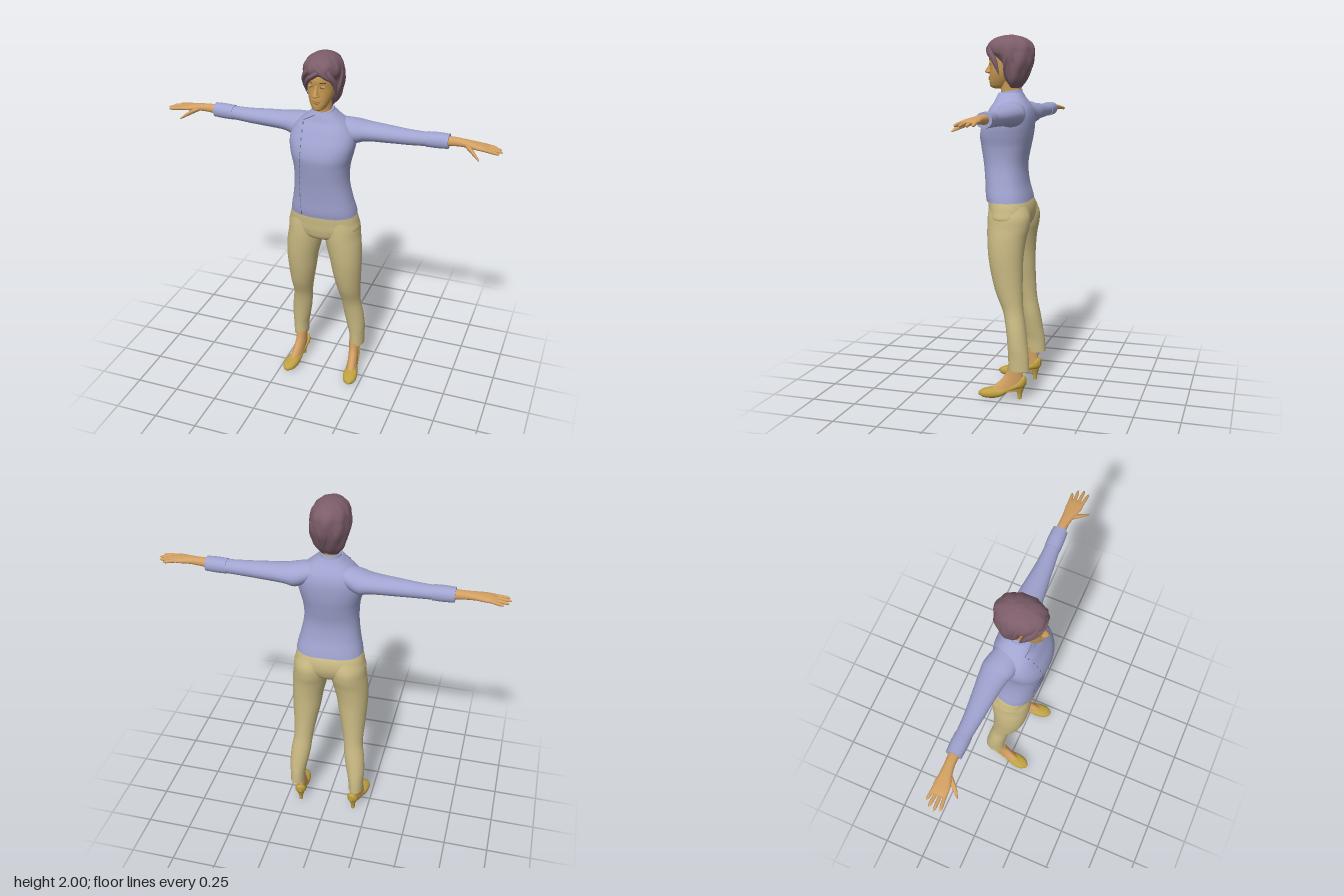
import * as THREE from 'three';

const mat = (name, color) => {
  const m = new THREE.MeshStandardMaterial({ color });
  m.name = name;
  return m;
};

// Smooth skin over cross-sections [t, centreA, halfWidthA, minB, maxB], sorted by t.
// axis y: a = x, b = z.  axis x: a = z, b = y.  axis z: a = -x, b = y.
function loft(axis, sections, { power = 2, sides = 32, steps = 5 } = {}) {
  const place = {
    y: (t, a, b) => [a, t, b],
    x: (t, a, b) => [t, b, a],
    z: (t, a, b) => [-a, b, t],
  }[axis];
  const times = sections.map((s) => s[0]);
  const spline = new THREE.CubicInterpolant(times, sections.flatMap((s) => s.slice(1)), 4, new Float32Array(4));
  const pos = [], index = [];
  const rings = (sections.length - 1) * steps;
  const ring = (t) => {
    const [c, r, lo, hi] = spline.evaluate(t);
    const mid = (lo + hi) / 2, h = Math.max((hi - lo) / 2, 0.001);
    for (let j = 0; j < sides; j++) {
      const an = (j / sides) * Math.PI * 2, cs = Math.cos(an), sn = Math.sin(an);
      const f = Math.pow(Math.pow(Math.abs(cs), power) + Math.pow(Math.abs(sn), power), -1 / power);
      pos.push(...place(t, c + Math.max(r, 0.001) * cs * f, mid + h * sn * f));
    }
    return [c, mid];
  };
  for (let i = 0; i <= rings; i++) {
    const k = Math.min(Math.floor(i / steps), sections.length - 2);
    ring(THREE.MathUtils.lerp(times[k], times[k + 1], i / steps - k));
  }
  for (let i = 0; i < rings; i++) {
    for (let j = 0; j < sides; j++) {
      const n = (j + 1) % sides, a = i * sides + j, b = i * sides + n;
      index.push(a, a + sides, b, b, a + sides, b + sides);
    }
  }
  // flat end caps on their own vertices
  for (const end of [0, 1]) {
    const t = times[end ? times.length - 1 : 0], start = pos.length / 3;
    const [c, mid] = ring(t);
    pos.push(...place(t, c, mid));
    for (let j = 0; j < sides; j++) {
      const a = start + j, b = start + ((j + 1) % sides), m = start + sides;
      index.push(...(end ? [a, m, b] : [a, b, m]));
    }
  }
  const g = new THREE.BufferGeometry();
  g.setAttribute('position', new THREE.Float32BufferAttribute(pos, 3));
  g.setIndex(index);
  g.computeVertexNormals();
  return g;
}

// Move every vertex by a rule, then refresh the normals
function reshape(g, rule) {
  const p = g.attributes.position, v = new THREE.Vector3();
  for (let i = 0; i < p.count; i++) {
    rule(v.fromBufferAttribute(p, i), i);
    p.setXYZ(i, v.x, v.y, v.z);
  }
  g.computeVertexNormals();
  return g;
}

function mirrored(geo) {
  const g = geo.clone().scale(-1, 1, 1), ix = g.index;
  for (let i = 0; i < ix.count; i += 3) {
    const a = ix.getX(i);
    ix.setX(i, ix.getX(i + 1));
    ix.setX(i + 1, a);
  }
  g.computeVertexNormals();
  return g;
}

// Tapered strand along a few points
function lock(points, r) {
  const curve = new THREE.CatmullRomCurve3(points.map((p) => new THREE.Vector3(...p)));
  const g = new THREE.TubeGeometry(curve, 20, r, 8);
  const uv = g.attributes.uv;
  return reshape(g, (v, i) => {
    const u = uv.getX(i), c = curve.getPointAt(u);
    v.sub(c).multiplyScalar(Math.max(0.02, Math.sin(Math.PI * (0.12 + 0.88 * u)))).add(c);
  });
}

export function createModel() {
  const model = new THREE.Group();
  const shirt = mat('shirtBlue', 0xa0a4d0), seam = mat('seamBlue', 0x6d7099);
  const khaki = mat('trouserKhaki', 0xcbbb84), shoe = mat('shoeGold', 0xbfa142);
  const face = mat('faceSkin', 0xc89a54), skin = mat('limbSkin', 0xd3a062);
  const lip = mat('lipBrown', 0xb5824a), hair = mat('hairPlum', 0x7c5d69), dark = mat('lashBrown', 0x5a4030);

  const add = (name, geo, m) => {
    const mesh = new THREE.Mesh(geo, m);
    mesh.name = name;
    model.add(mesh);
    return mesh;
  };
  const pair = (name, geo, m) => {
    add(name + 'Left', geo, m);
    add(name + 'Right', mirrored(geo), m);
  };
  const ray = new THREE.Raycaster();
  const frontZ = (mesh, x, y) => {
    ray.set(new THREE.Vector3(x, y, 2), new THREE.Vector3(0, 0, -1));
    const hit = ray.intersectObject(mesh)[0];
    return hit ? hit.point.z : 0;
  };

  // Shirt body
  const torso = add('shirtBody', loft('y', [
    [1.1, 0.004, 0.186, -0.122, 0.12], [1.13, 0.004, 0.181, -0.116, 0.126], [1.2, 0.003, 0.165, -0.098, 0.131],
    [1.3, 0, 0.15, -0.09, 0.142], [1.4, 0, 0.154, -0.108, 0.158], [1.46, 0, 0.168, -0.12, 0.164],
    [1.52, 0, 0.178, -0.126, 0.15], [1.57, 0, 0.172, -0.125, 0.126], [1.61, 0, 0.148, -0.115, 0.106],
    [1.64, 0, 0.118, -0.098, 0.087], [1.67, 0, 0.082, -0.078, 0.075], [1.69, 0, 0.062, -0.068, 0.066],
  ], { power: 2.4, sides: 48 }), shirt);

  // Stand collar, higher at the nape
  add('collar', reshape(loft('y', [
    [1.65, 0, 0.082, -0.078, 0.082], [1.675, 0, 0.064, -0.068, 0.07], [1.7, 0, 0.056, -0.062, 0.064],
  ]), (v) => { v.y -= 0.16 * v.z; }), shirt);

  // Off-centre stitched opening
  const stitch = (x, y, angle, length) => {
    const g = new THREE.BoxGeometry(0.004, length, 0.004).rotateZ(angle);
    add('stitch', g.translate(x, y, frontZ(torso, x, y)), seam);
  };
  for (let y = 1.12; y < 1.64; y += 0.036) stitch(-0.087 - 0.008 * Math.sin((y - 1.1) * 12), y, 0, 0.026);
  for (let i = 0; i < 4; i++) stitch(-0.083 + i * 0.016, 1.645 + i * 0.009, -1.05, 0.019);

  // Sleeves and turned cuffs
  pair('sleeve', loft('x', [
    [0.08, -0.03, 0.07, 1.55, 1.648], [0.17, -0.045, 0.084, 1.512, 1.64], [0.22, -0.052, 0.074, 1.524, 1.631],
    [0.35, -0.055, 0.058, 1.53, 1.621], [0.45, -0.056, 0.048, 1.533, 1.614], [0.55, -0.06, 0.041, 1.538, 1.611],
    [0.65, -0.062, 0.037, 1.541, 1.611],
  ]), shirt);
  pair('cuff', loft('x', [
    [0.548, -0.06, 0.043, 1.536, 1.614], [0.6, -0.061, 0.044, 1.536, 1.617], [0.662, -0.062, 0.041, 1.539, 1.616],
  ], { power: 2.2 }), shirt);

  // Wrists, palms, fingers and thumbs
  pair('hand', loft('x', [
    [0.62, -0.06, 0.031, 1.55, 1.605], [0.7, -0.06, 0.026, 1.56, 1.604], [0.76, -0.055, 0.031, 1.564, 1.6],
    [0.81, -0.05, 0.041, 1.563, 1.594], [0.85, -0.048, 0.041, 1.564, 1.588], [0.868, -0.048, 0.033, 1.568, 1.582],
  ], { power: 2.3 }), skin);
  for (const [z0, z1, tip] of [[-0.08, -0.09, 0.905], [-0.059, -0.067, 0.932], [-0.038, -0.037, 0.942], [-0.018, -0.008, 0.93]]) {
    const at = (f, r) => {
      const y = 1.577 - 0.011 * f;
      return [0.835 + (tip - 0.835) * f, z0 + (z1 - z0) * f, r, y - r, y + r];
    };
    pair('finger', loft('x', [at(0, 0.01), at(0.5, 0.009), at(0.88, 0.007), at(1, 0.002)], { sides: 10 }), skin);
  }
  pair('thumb', loft('x', [
    [0.75, -0.045, 0.016, 1.566, 1.59], [0.785, -0.012, 0.018, 1.553, 1.579],
    [0.815, 0.016, 0.012, 1.54, 1.56], [0.838, 0.035, 0.004, 1.531, 1.539],
  ], { sides: 14 }), skin);

  // Trousers
  add('trouserHips', loft('y', [
    [0.935, 0, 0.04, -0.07, 0.06], [0.955, 0, 0.12, -0.1, 0.088], [1.0, 0, 0.198, -0.126, 0.105],
    [1.05, 0, 0.196, -0.134, 0.11], [1.1, 0, 0.183, -0.124, 0.113], [1.13, 0, 0.17, -0.105, 0.11],
  ], { power: 2.3, sides: 40 }), khaki);
  pair('trouserLeg', loft('y', [
    [0.172, 0.18, 0.042, -0.158, -0.04], [0.25, 0.178, 0.046, -0.154, -0.038], [0.3, 0.174, 0.052, -0.147, -0.034],
    [0.4, 0.162, 0.058, -0.132, -0.022], [0.5, 0.15, 0.056, -0.115, 0.0], [0.6, 0.143, 0.067, -0.108, 0.042],
    [0.7, 0.136, 0.08, -0.106, 0.07], [0.8, 0.13, 0.09, -0.108, 0.088], [0.9, 0.116, 0.1, -0.12, 0.098],
    [0.96, 0.106, 0.102, -0.134, 0.101], [1.02, 0.1, 0.101, -0.138, 0.1], [1.08, 0.09, 0.09, -0.12, 0.095],
  ]), khaki);

  // Feet and heeled pumps, toes turned out
  const turnOut = (g) => g.rotateY(0.15).translate(0.18, 0, 0);
  pair('foot', turnOut(loft('y', [
    [0.045, 0, 0.032, -0.1, 0.07], [0.07, 0, 0.03, -0.112, 0.045], [0.1, 0, 0.029, -0.122, 0.012],
    [0.14, 0, 0.029, -0.118, -0.02], [0.2, 0, 0.03, -0.112, -0.036],
  ])), skin);
  pair('pump', turnOut(loft('z', [
    [-0.138, 0, 0.012, 0.085, 0.125], [-0.125, 0, 0.028, 0.07, 0.135], [-0.09, 0, 0.033, 0.06, 0.104],
    [-0.04, 0, 0.032, 0.038, 0.078], [0, 0, 0.035, 0.014, 0.062], [0.04, 0, 0.041, 0.002, 0.062],
    [0.08, 0, 0.04, 0.002, 0.055], [0.11, 0, 0.03, 0.006, 0.046], [0.132, 0, 0.008, 0.016, 0.032],
  ], { power: 2.4 })), shoe);
  pair('heel', turnOut(loft('y', [
    [0, 0, 0.011, -0.112, -0.088], [0.03, 0, 0.013, -0.115, -0.087],
    [0.07, 0, 0.024, -0.128, -0.075], [0.09, 0, 0.028, -0.132, -0.06],
  ], { sides: 16 })), shoe);

  // Neck and head
  add('neck', loft('y', [
    [1.62, 0, 0.05, -0.06, 0.055], [1.68, 0, 0.045, -0.056, 0.056], [1.78, 0, 0.048, -0.065, 0.06],
  ]), face);
  const head = add('head', loft('y', [
    [1.712, 0, 0.016, 0.04, 0.09], [1.72, 0, 0.03, 0.02, 0.112], [1.738, 0, 0.043, 0, 0.12],
    [1.77, 0, 0.058, -0.03, 0.12], [1.8, 0, 0.067, -0.05, 0.118], [1.84, 0, 0.073, -0.07, 0.117],
    [1.88, 0, 0.074, -0.08, 0.123], [1.92, 0, 0.068, -0.07, 0.112], [1.955, 0, 0.04, -0.04, 0.07],
  ], { power: 2.15 }), face);
  add('nose', loft('y', [
    [1.793, 0, 0.009, 0.1, 0.128], [1.8, 0, 0.019, 0.1, 0.146], [1.812, 0, 0.014, 0.1, 0.146],
    [1.835, 0, 0.01, 0.1, 0.131], [1.862, 0, 0.008, 0.1, 0.118],
  ], { sides: 16 }), face);

  // Lips, eyelids, lashes and brows
  const pebble = (x, y, z, sx, sy, sz) => new THREE.SphereGeometry(1, 18, 12).scale(sx, sy, sz).translate(x, y, z);
  add('upperLip', pebble(0, 1.774, 0.117, 0.024, 0.006, 0.011), lip);
  add('lowerLip', pebble(0, 1.764, 0.116, 0.02, 0.007, 0.011), lip);
  const eyeZ = frontZ(head, 0.032, 1.848);
  pair('eyelid', pebble(0.032, 1.848, eyeZ - 0.003, 0.015, 0.009, 0.007), face);
  pair('lash', new THREE.BoxGeometry(0.024, 0.002, 0.003).rotateY(0.3).translate(0.032, 1.846, eyeZ + 0.003), dark);
  pair('brow', new THREE.BoxGeometry(0.032, 0.004, 0.004).rotateY(0.35)
    .translate(0.034, 1.871, frontZ(head, 0.034, 1.871)), dark);

  // Short tousled hair
  add('hair', reshape(loft('y', [
    [1.715, 0, 0.048, -0.055, 0], [1.75, 0, 0.076, -0.08, 0.02], [1.8, 0, 0.092, -0.105, 0.042],
    [1.85, 0, 0.1, -0.125, 0.058], [1.885, 0, 0.102, -0.13, 0.088], [1.905, 0, 0.101, -0.131, 0.12],
    [1.94, 0, 0.095, -0.125, 0.13], [1.97, 0, 0.076, -0.1, 0.11], [1.99, 0, 0.046, -0.062, 0.072], [2, 0, 0.012, -0.02, 0.025],
  ], { power: 2.1, sides: 64 }), (v) => {
    const f = 1 + 0.022 * Math.sin(9 * Math.atan2(v.z, v.x) + 28 * v.y) + 0.012 * Math.sin(17 * Math.atan2(v.z, v.x) - 45 * v.y);
    v.x *= f;
    v.z *= f;
  }), hair);
  const fringe = [
    [[0.06, 1.95, 0.095], [0, 1.917, 0.122], [-0.052, 1.872, 0.1], [-0.08, 1.8, 0.055]],
    [[0.03, 1.965, 0.095], [0.06, 1.915, 0.1], [0.08, 1.86, 0.07], [0.085, 1.78, 0.04]],
    [[-0.01, 1.965, 0.1], [-0.055, 1.92, 0.1], [-0.084, 1.86, 0.06], [-0.08, 1.77, 0.025]],
    [[-0.04, 1.965, 0.08], [0.01, 1.935, 0.118], [0.05, 1.9, 0.11], [0.078, 1.865, 0.08]],
  ];
  for (const points of fringe) add('fringeLock', lock(points, 0.016), hair);
  for (let i = 0; i < 9; i++) {
    const a = Math.PI * (0.98 + i * 0.13), twist = i % 2 ? 0.3 : -0.25;
    const at = (r, y, s) => [0.098 * r * Math.cos(a + s), y, 0.125 * r * Math.sin(a + s)];
    add('backLock', lock([at(0.45, 1.975, twist), at(0.88, 1.93, twist / 2), at(0.94, 1.85, 0), at(0.74, 1.77, -twist / 2)], 0.013), hair);
  }
  return model;
}
